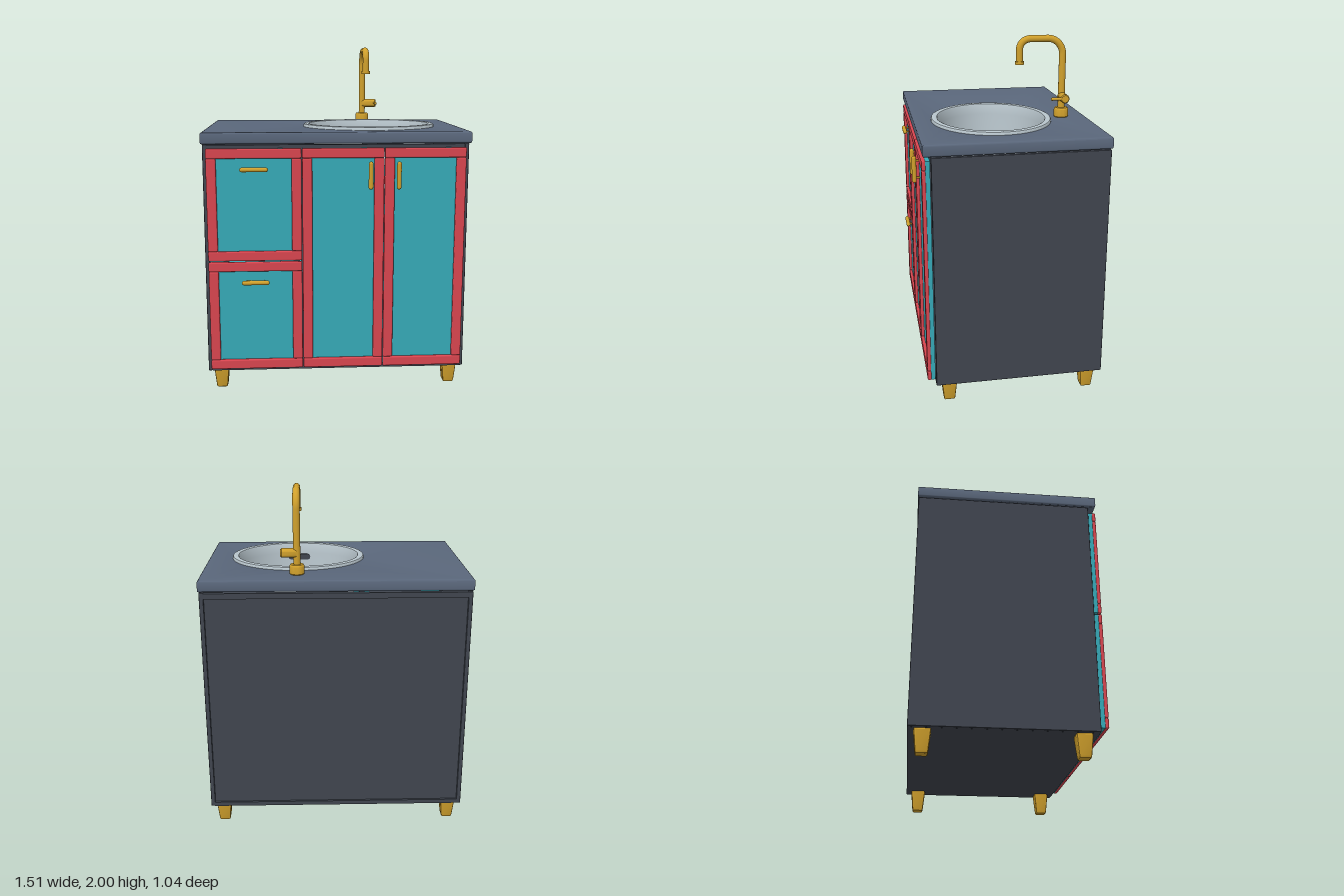
import * as THREE from 'three';
import { toCreasedNormals } from 'three/addons/utils/BufferGeometryUtils.js';
import { RoundedBoxGeometry } from 'three/addons/geometries/RoundedBoxGeometry.js';

const material = (name, color) => {
  const m = new THREE.MeshStandardMaterial({ color });
  m.name = name;
  return m;
};

export function createModel() {
  const stone = material('slate worktop', 0x5a677b);
  const carcass = material('dark cabinet', 0x40454f);
  const teal = material('teal panel', 0x36a9b7);
  const red = material('red frame', 0xd8454f);
  const gold = material('brass', 0xd0a02c);
  const steel = material('pale steel', 0xb9c6cd);

  const root = new THREE.Group();
  root.name = 'sinkCabinet';
  const add = (name, geometry, mat, parent = root) => {
    const mesh = new THREE.Mesh(geometry, mat);
    mesh.name = name;
    parent.add(mesh);
    return mesh;
  };
  const group = (name) => {
    const g = new THREE.Group();
    g.name = name;
    root.add(g);
    return g;
  };
  // Box given by its limits, with optional rounded edges
  const block = (name, mat, parent, [x0, x1], [y0, y1], [z0, z1], r = 0) => {
    const size = [x1 - x0, y1 - y0, z1 - z0];
    const geo = r ? new RoundedBoxGeometry(...size, 2, r) : new THREE.BoxGeometry(...size);
    geo.translate((x0 + x1) / 2, (y0 + y1) / 2, (z0 + z1) / 2);
    return add(name, geo, mat, parent);
  };

  // Cabinet body: boards around a slightly recessed back
  const body = group('cabinetBody');
  for (const s of [-1, 1]) {
    const xs = [s * 0.752, s * 0.727].sort((a, b) => a - b);
    block('sideBoard', carcass, body, xs, [0.125, 1.455], [-0.515, 0.447], 0.004);
  }
  block('bottomBoard', carcass, body, [-0.73, 0.73], [0.125, 0.15], [-0.515, 0.447]);
  block('backBoard', carcass, body, [-0.73, 0.73], [0.15, 1.425], [-0.503, -0.485]);
  block('backRail', carcass, body, [-0.73, 0.73], [1.42, 1.452], [-0.515, -0.485]);
  block('frontRail', carcass, body, [-0.73, 0.73], [1.41, 1.452], [0.42, 0.445]);
  block('frontDivider', carcass, body, [-0.215, -0.18], [0.15, 1.41], [0.42, 0.445]);
  block('drawerDivider', carcass, body, [-0.73, -0.2], [0.77, 0.82], [0.42, 0.445]);

  // Worktop with an oval cut-out
  const cx = 0.218, cz = 0.045, bevel = 0.01;
  const top = new THREE.Shape();
  const X = 0.757 - bevel, zb = 0.52 - bevel, zf = -0.49 + bevel;
  top.moveTo(-X, zf).lineTo(X, zf).lineTo(X, zb).lineTo(-X, zb).closePath();
  const hole = new THREE.Path();
  hole.absellipse(cx, -cz, 0.385, 0.333, 0, Math.PI * 2, true);
  top.holes.push(hole);
  const topGeo = new THREE.ExtrudeGeometry(top, {
    depth: 0.065 - 2 * bevel, bevelEnabled: true, bevelThickness: bevel,
    bevelSize: bevel, bevelSegments: 3, curveSegments: 32,
  });
  topGeo.rotateX(-Math.PI / 2).translate(0, 1.46 + bevel, 0);
  add('worktop', toCreasedNormals(topGeo, 0.7), stone);

  // Oval basin: round profile stretched sideways by a constant margin
  const sink = group('sink');
  sink.position.set(cx, 0, cz);
  const profile = [
    [0.346, 1.522], [0.346, 1.534], [0.342, 1.541], [0.334, 1.544], [0.318, 1.544], [0.311, 1.541],
    [0.307, 1.532], [0.304, 1.48], [0.298, 1.38], [0.288, 1.27], [0.278, 1.205], [0.268, 1.178],
    [0.253, 1.17], [0.036, 1.165], [0.0001, 1.165],
  ].map(([r, y]) => new THREE.Vector2(r, y));
  const basin = new THREE.LatheGeometry(profile, 64);
  const p = basin.attributes.position;
  for (let i = 0; i < p.count; i++) {
    const r = Math.hypot(p.getX(i), p.getZ(i));
    p.setX(i, p.getX(i) * (1 + 0.052 / Math.max(r, 0.25)));
  }
  add('basin', toCreasedNormals(basin, 0.6), steel, sink);
  const ring = new THREE.TorusGeometry(0.031, 0.006, 8, 32);
  ring.rotateX(Math.PI / 2).translate(0, 1.166, 0);
  add('drainRing', ring, steel, sink);
  add('drainHole', new THREE.CylinderGeometry(0.021, 0.021, 0.006, 24).translate(0, 1.167, 0), carcass, sink);
  // Overflow slot high on the front wall
  const slot = new THREE.Shape();
  slot.absarc(0.052, 0, 0.018, -Math.PI / 2, Math.PI / 2);
  slot.absarc(-0.052, 0, 0.018, Math.PI / 2, Math.PI * 1.5);
  slot.closePath();
  const slotGeo = new THREE.ExtrudeGeometry(slot, { depth: 0.009, bevelEnabled: false });
  add('overflowSlot', slotGeo, carcass, sink).position.set(0, 1.455, 0.292);

  // Drawer and door fronts: panel, two full-width rails, two stiles
  const front = (name, [x0, x1], [y0, y1]) => {
    const g = group(name);
    const w = 0.056, z = [0.472, 0.494], r = 0.008;
    block('panel', teal, g, [x0 + 0.003, x1 - 0.003], [y0 + 0.003, y1 - 0.003], [0.45, 0.475]);
    block('topRail', red, g, [x0, x1], [y1 - w, y1], z, r);
    block('bottomRail', red, g, [x0, x1], [y0, y0 + w], z, r);
    block('rightStile', red, g, [x0, x0 + w], [y0 + w, y1 - w], z, r);
    block('leftStile', red, g, [x1 - w, x1], [y0 + w, y1 - w], z, r);
    return g;
  };
  const handle = (parent, x, y, upright) => {
    const geo = new THREE.CapsuleGeometry(0.013, 0.132, 6, 16);
    if (!upright) geo.rotateZ(Math.PI / 2);
    add('handle', geo, gold, parent).position.set(x, y, 0.506);
    for (const d of [-0.05, 0.05]) {
      const post = new THREE.CylinderGeometry(0.006, 0.006, 0.034, 10).rotateX(Math.PI / 2);
      add('handlePost', post, gold, parent)
        .position.set(x + (upright ? 0 : d), y + (upright ? d : 0), 0.486);
    }
  };
  handle(front('upperDrawer', [-0.731, -0.2], [0.796, 1.436]), -0.465, 1.32, false);
  handle(front('lowerDrawer', [-0.731, -0.2], [0.15, 0.79]), -0.465, 0.672, false);
  handle(front('rightDoor', [-0.196, 0.265], [0.15, 1.436]), 0.188, 1.282, true);
  handle(front('leftDoor', [0.268, 0.729], [0.15, 1.436]), 0.347, 1.282, true);

  // Tapered feet
  for (const x of [-0.68, 0.68]) for (const z of [0.37, -0.44]) {
    const geo = new RoundedBoxGeometry(0.09, 0.13, 0.09, 1, 0.012);
    const q = geo.attributes.position;
    for (let i = 0; i < q.count; i++) {
      const k = 0.85 + 0.15 * (q.getY(i) / 0.065);
      q.setX(i, q.getX(i) * k);
      q.setZ(i, q.getZ(i) * k);
    }
    add('foot', toCreasedNormals(geo, 0.4), gold).position.set(x, 0.065, z);
  }

  // Tap: base, bent spout, collar, side valve and lever
  const tap = group('tap');
  tap.position.set(0.217, 0, -0.375);
  const lathe = (pts) => toCreasedNormals(
    new THREE.LatheGeometry(pts.map(([r, y]) => new THREE.Vector2(r, y)), 32), 0.6);
  add('tapBase', lathe([[0.036, 1.522], [0.042, 1.53], [0.042, 1.572], [0.036, 1.581], [0.0001, 1.581]]), gold, tap);
  const v = (y, z) => new THREE.Vector3(0, y, z);
  const path = new THREE.CurvePath();
  path.add(new THREE.LineCurve3(v(1.57, 0), v(1.89, 0)));
  path.add(new THREE.CubicBezierCurve3(v(1.89, 0), v(1.94, 0), v(1.98, 0.04), v(1.98, 0.09)));
  path.add(new THREE.LineCurve3(v(1.98, 0.09), v(1.98, 0.19)));
  path.add(new THREE.CubicBezierCurve3(v(1.98, 0.19), v(1.98, 0.225), v(1.955, 0.253), v(1.92, 0.253)));
  path.add(new THREE.LineCurve3(v(1.92, 0.253), v(1.842, 0.253)));
  add('spout', new THREE.TubeGeometry(path, 90, 0.02, 20), gold, tap);
  add('spoutCollar', new THREE.CylinderGeometry(0.026, 0.026, 0.018, 24), gold, tap).position.set(0, 1.845, 0.253);
  const valve = lathe([[0.0001, 0], [0.024, 0], [0.026, 0.004], [0.026, 0.084], [0.021, 0.091], [0.0001, 0.091]]);
  add('valve', valve.rotateZ(-Math.PI / 2), gold, tap).position.set(0, 1.644, 0);
  const lever = new THREE.CapsuleGeometry(0.009, 0.09, 4, 12).rotateX(Math.PI / 2);
  add('lever', lever, gold, tap).position.set(0.082, 1.645, 0.03);

  return root;
}
